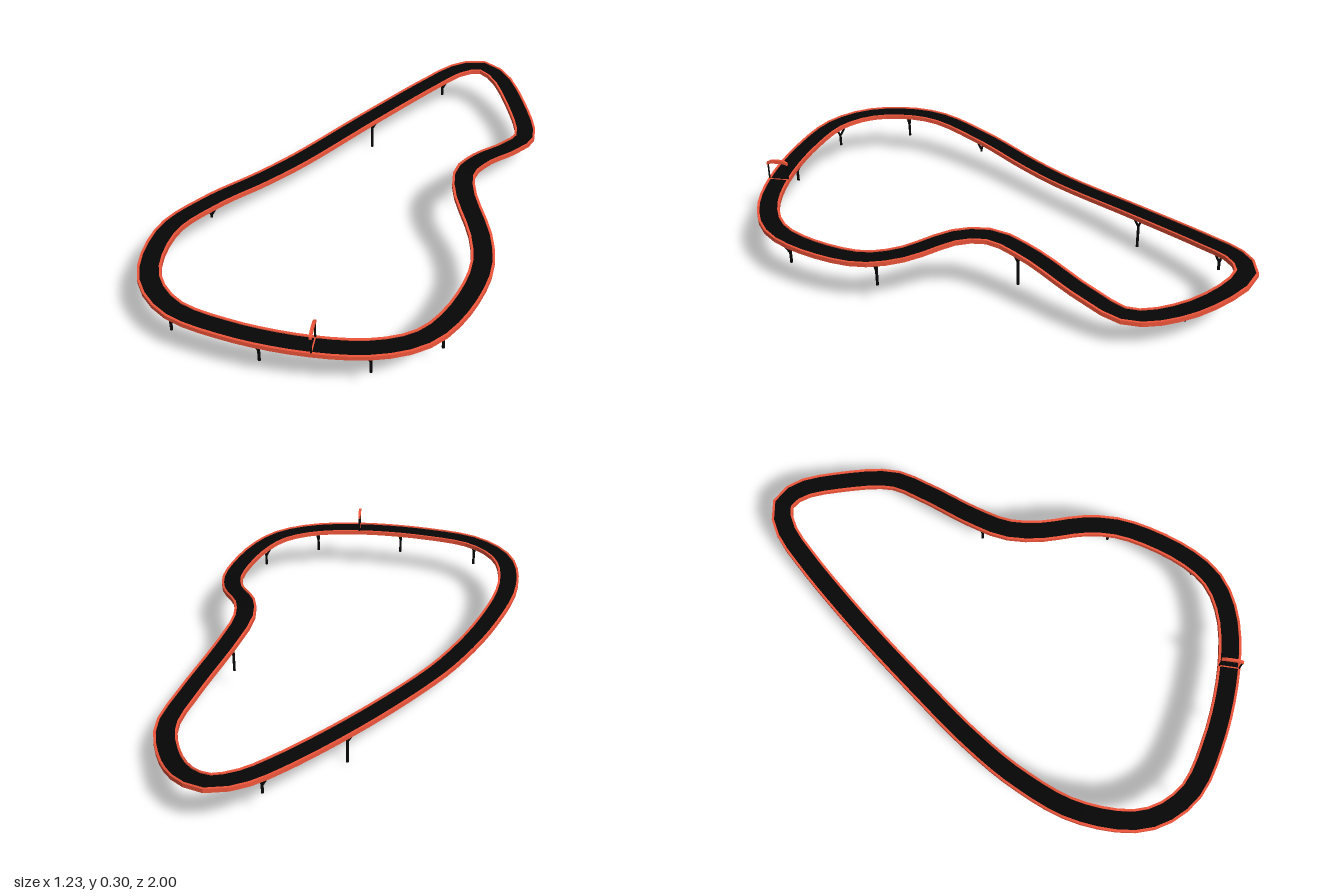
import * as THREE from 'three';

const red = new THREE.MeshStandardMaterial({ color: 0xf0553a, flatShading: true });
const black = new THREE.MeshStandardMaterial({ color: 0x060606, flatShading: true });
const UP = new THREE.Vector3(0, 1, 0);

// centre line of the circuit: x, underside height, z
const path = new THREE.CatmullRomCurve3([
  [0.145, 0.2, 0.932], [-0.15, 0.2, 0.956], [-0.38, 0.201, 0.924], [-0.522, 0.202, 0.802],
  [-0.577, 0.2, 0.56], [-0.523, 0.162, 0.3], [-0.424, 0.127, 0.06], [-0.335, 0.122, -0.12],
  [-0.154, 0.147, -0.475], [0.025, 0.18, -0.785], [0.108, 0.196, -0.9], [0.2, 0.2, -0.955],
  [0.29, 0.185, -0.925], [0.415, 0.137, -0.78], [0.495, 0.126, -0.6], [0.468, 0.165, -0.44],
  [0.4, 0.239, -0.21], [0.378, 0.271, -0.06], [0.413, 0.268, 0.06], [0.525, 0.224, 0.235],
  [0.569, 0.203, 0.38], [0.544, 0.198, 0.63], [0.479, 0.198, 0.772], [0.355, 0.199, 0.867],
].map((p) => new THREE.Vector3(...p)), true);

function mesh(name, geometry, material) {
  const m = new THREE.Mesh(geometry, material);
  m.name = name;
  return m;
}

// horizontal direction across the track
function across(t) {
  const d = path.getTangentAt(t);
  return new THREE.Vector3(d.z, 0, -d.x).normalize();
}

// sweep a [across, up] profile round the circuit
function sweep(profile, closed) {
  const n = 80, m = profile.length, pos = [], idx = [];
  for (let i = 0; i < n; i++) {
    const c = path.getPointAt(i / n), s = across(i / n);
    for (const [u, v] of profile) pos.push(c.x + s.x * u, c.y + v, c.z + s.z * u);
  }
  for (let i = 0; i < n; i++) {
    for (let j = 0; j < (closed ? m : m - 1); j++) {
      const k = (j + 1) % m, a = i * m, b = ((i + 1) % n) * m;
      idx.push(a + j, a + k, b + k, a + j, b + k, b + j);
    }
  }
  const g = new THREE.BufferGeometry();
  g.setAttribute('position', new THREE.Float32BufferAttribute(pos, 3));
  g.setIndex(idx);
  g.computeVertexNormals();
  return g;
}

// round bar between two points
function bar(name, a, b, r, material) {
  const d = b.clone().sub(a);
  const m = mesh(name, new THREE.CylinderGeometry(r, r, d.length(), 8), material);
  m.position.copy(a).add(b).multiplyScalar(0.5);
  m.quaternion.setFromUnitVectors(UP, d.normalize());
  return m;
}

// track parameter nearest to a ground position
function nearest(x, z) {
  let best = 0, least = Infinity;
  for (let i = 0; i < 800; i++) {
    const p = path.getPointAt(i / 800), d = Math.hypot(p.x - x, p.z - z);
    if (d < least) { least = d; best = i / 800; }
  }
  return best;
}

// Y-shaped stand under the track; turn swings its arms from square across the road
function support(x, z, foot, turn) {
  const g = new THREE.Group();
  g.name = 'support';
  const t = nearest(x, z), top = path.getPointAt(t), s = across(t).applyAxisAngle(UP, turn);
  const fork = top.clone().setY(Math.max(foot + 0.006, top.y - 0.055));
  g.add(bar('post', top.clone().setY(foot), fork, 0.0055, black));
  for (const side of [-1, 1]) {
    const tip = top.clone().addScaledVector(s, side * 0.033);
    tip.y += 0.003;
    g.add(bar('arm', fork, tip, 0.0045, black));
  }
  return g;
}

// start gate: two posts, arched banner and a line across the road
function startGate() {
  const g = new THREE.Group();
  g.name = 'startGate';
  const t = nearest(0.149, 0.932), s = across(t);
  g.position.copy(path.getPointAt(t));
  g.rotation.y = Math.atan2(-s.z, s.x);
  for (const side of [-1, 1]) {
    g.add(bar('gatePost', new THREE.Vector3(side * 0.038, 0.008, 0),
      new THREE.Vector3(side * 0.038, 0.083, 0), 0.0035, black));
  }
  const shape = new THREE.Shape([
    [-0.042, 0.077], [-0.024, 0.084], [0.024, 0.084], [0.042, 0.077],
    [0.042, 0.088], [0.024, 0.097], [0, 0.099], [-0.024, 0.097], [-0.042, 0.088],
  ].map((p) => new THREE.Vector2(...p)));
  const banner = mesh('banner', new THREE.ExtrudeGeometry(shape, { depth: 0.01, bevelEnabled: false }), red);
  banner.position.z = -0.005;
  const line = mesh('startLine', new THREE.BoxGeometry(0.07, 0.002, 0.005), red);
  line.position.y = 0.011;
  g.add(banner, line);
  return g;
}

export function createModel() {
  const model = new THREE.Group();
  model.name = 'raceTrack';

  // track body with raised kerbs, and the road between them
  model.add(mesh('trackBody', sweep([
    [-0.043, -0.002], [0.043, -0.002], [0.043, 0.015], [0.034, 0.015],
    [0.034, 0.009], [-0.034, 0.009], [-0.034, 0.015], [-0.043, 0.015],
  ], true), red));
  model.add(mesh('road', sweep([[0.034, 0.011], [-0.034, 0.011]], false), black));

  // stands; one reaches down to the lowest ground
  for (const [x, z, foot = 0.1, turn = 0] of [
    [-0.572, 0.672], [-0.525, 0.315], [-0.38, 0.924, 0.1, 0.35], [-0.355, -0.07],
    [-0.15, -0.485, 0], [-0.04, 0.96], [0.06, -0.84], [0.335, 0.883, 0.1, -0.4],
    [0.39, -0.165], [0.41, -0.78], [0.525, 0.69], [0.56, 0.318],
  ]) model.add(support(x, z, foot, turn));

  model.add(startGate());
  return model;
}
